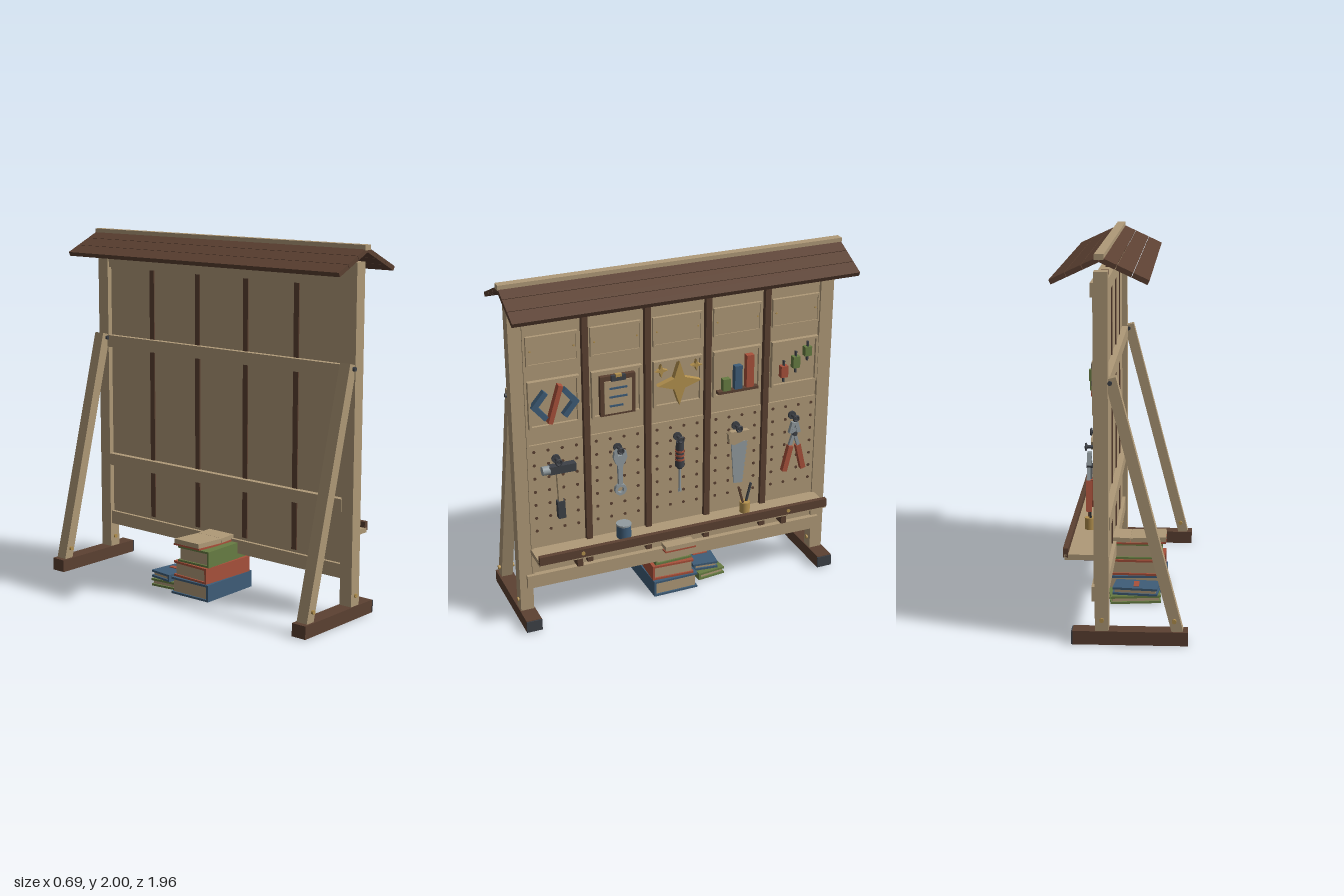
import * as THREE from 'three';

const mat = (name, color) => Object.assign(new THREE.MeshStandardMaterial({ color }), { name });
const tan = mat('tan wood', 0xb09a78), brown = mat('dark wood', 0x5c4132), dark = mat('charcoal', 0x3e4147),
  steel = mat('steel', 0x929ca0), blue = mat('blue', 0x3f5d78), red = mat('red', 0xa9513b),
  green = mat('green', 0x687d43), gold = mat('gold', 0xb5924f);

export function createModel() {
  const model = new THREE.Group();
  model.name = 'toolBoard';
  // Working frame: u runs along the board, y up, d is the depth the board faces.
  const frame = new THREE.Group();
  frame.name = 'boardFrame';
  frame.rotation.y = Math.PI / 2;
  model.add(frame);

  const add = (name, geo, m, u, y, d, parent = frame) => {
    const mesh = new THREE.Mesh(geo, m);
    mesh.name = name;
    mesh.position.set(u, y, d);
    parent.add(mesh);
    return mesh;
  };
  const box = (name, m, u, y, d, w, h, t, parent) => add(name, new THREE.BoxGeometry(w, h, t), m, u, y, d, parent);
  const cyl = (name, m, u, y, d, r1, r2, h, seg = 16) => add(name, new THREE.CylinderGeometry(r1, r2, h, seg), m, u, y, d);
  const peg = (name, m, u, y, d, r, h, seg = 12) => {
    const p = cyl(name, m, u, y, d, r, r, h, seg);
    p.rotation.x = Math.PI / 2;
    return p;
  };
  // straight stroke between two points in the board plane
  const stroke = (name, m, u1, y1, u2, y2, w, d, t) => {
    const b = box(name, m, (u1 + u2) / 2, (y1 + y2) / 2, d, w, Math.hypot(u2 - u1, y2 - y1), t);
    b.rotation.z = -Math.atan2(u2 - u1, y2 - y1);
    return b;
  };
  // flat outline thickened away from the board, with optional holes
  const plate = (name, m, pts, u, y, d, t, holes = []) => {
    const shape = new THREE.Shape(pts.map(p => new THREE.Vector2(...p)));
    holes.forEach(h => shape.holes.push(new THREE.Path(h.map(p => new THREE.Vector2(...p)))));
    return add(name, new THREE.ExtrudeGeometry(shape, { depth: t, bevelEnabled: false }), m, u, y, d);
  };
  const rect = (w, h) => [[-w / 2, -h / 2], [w / 2, -h / 2], [w / 2, h / 2], [-w / 2, h / 2]];
  const ring = (r, n = 20) => Array.from({ length: n }, (_, i) =>
    [r * Math.cos(i / n * 2 * Math.PI), r * Math.sin(i / n * 2 * Math.PI)]);
  const rim = (name, m, w, h, u, y, d, t, b = 0.014) => plate(name, m, rect(w, h), u, y, d, t, [rect(w - 2 * b, h - 2 * b)]);

  // Feet, posts and rear braces
  for (const s of [-1, 1]) {
    const u = 0.902 * s;
    box('foot', brown, u, 0.036, -0.05, 0.088, 0.072, 0.592);
    box('footCap', dark, u, 0.036, 0.248, 0.09, 0.066, 0.008);
    box('post', tan, u, 0.99, 0.095, 0.076, 1.84, 0.07);
    const brace = box('brace', tan, u, 0.725, -0.122, 0.066, 1.36, 0.058);
    brace.rotation.x = Math.atan2(0.34, 1.31);
    for (const [y, d] of [[1.36, 0.05], [0.13, 0.095], [0.13, -0.275]]) {
      const bolt = cyl('frameBolt', y > 1 ? dark : gold, u, y, d, 0.012, 0.012, 0.094, 8);
      bolt.rotation.z = Math.PI / 2;
    }
  }

  // Rails, back board and battens
  box('backBoard', tan, 0, 1.04, 0.105, 1.73, 1.5, 0.03);
  box('topRail', tan, 0, 1.815, 0.11, 1.8, 0.072, 0.08);
  box('bottomRail', tan, 0, 0.255, 0.11, 1.8, 0.078, 0.08);
  for (const y of [0.62, 1.34]) box('rearRail', tan, 0, y, 0.075, 1.74, 0.07, 0.04);
  for (const u of [-0.53, -0.177, 0.177, 0.53]) {
    box('batten', brown, u, 1.045, 0.117, 0.034, 1.47, 0.066);
    box('battenTop', brown, u, 1.86, 0.1, 0.03, 0.03, 0.04);
  }
  for (const s of [-1, 1]) box('edgeTrim', tan, 0.862 * s, 1.04, 0.125, 0.012, 1.48, 0.03);

  // Roof planks and ridge
  for (const s of [-1, 1]) for (let i = 0; i < 3; i++) {
    const r = 0.047 + 0.088 * i;
    const plank = box('roofPlank', brown, 0, 1.975 - 0.423 * r, 0.099 + s * 0.906 * r, 1.95, 0.025, 0.085);
    plank.rotation.x = 0.437 * s;
  }
  box('ridgeCap', tan, 0, 1.986, 0.099, 1.956, 0.028, 0.048);

  // Five bays: label plate, icon frame, pegboard and hook
  const bays = [-0.708, -0.354, 0, 0.354, 0.708];
  for (const u of bays) {
    box('labelPlate', tan, u, 1.62, 0.125, 0.27, 0.15, 0.014);
    rim('labelRim', tan, 0.285, 0.165, u, 1.62, 0.12, 0.018, 0.01);
    for (const s of [-1, 1]) peg('labelPin', gold, u + 0.12 * s, 1.62, 0.133, 0.005, 0.006, 8);
    box('iconPanel', tan, u, 1.315, 0.123, 0.27, 0.26, 0.014);
    rim('iconRim', tan, 0.285, 0.272, u, 1.315, 0.12, 0.026);
    box('pegBoard', tan, u, 0.77, 0.124, 0.315, 0.62, 0.012);
    for (let r = 0; r < 7; r++) for (let c = 0; c < 4; c++)
      peg('pegHole', brown, u - 0.12 + 0.08 * c, 1.04 - 0.08 * r, 0.131, 0.009, 0.004, 8);
    peg('hookPlate', dark, u, 0.983, 0.136, 0.024, 0.012, 16);
    peg('hook', dark, u, 0.983, 0.162, 0.009, 0.06, 10);
    add('hookLoop', new THREE.TorusGeometry(0.016, 0.006, 6, 14), dark, u, 0.983, 0.188);
  }

  // Icon 1: angle brackets and slash
  const iy = 1.312, id = 0.13, it = 0.035;
  const [a, b, c, e, f] = bays;
  for (const s of [-1, 1]) plate('angleBracket', blue,
    [[0.135, 0], [0.062, 0.086], [0.04, 0.066], [0.095, 0], [0.04, -0.066], [0.062, -0.086]].map(([x, y]) => [x * s, y]), a, iy, id, it);
  stroke('slash', red, a - 0.032, iy - 0.105, a + 0.032, iy + 0.105, 0.026, 0.15, 0.04);

  // Icon 2: clipboard
  box('clipboard', brown, b, 1.305, 0.143, 0.2, 0.23, 0.026);
  box('clipboardPaper', tan, b, 1.298, 0.158, 0.156, 0.19, 0.006);
  box('clip', dark, b, 1.41, 0.163, 0.08, 0.032, 0.018);
  box('clipTab', gold, b, 1.425, 0.165, 0.035, 0.016, 0.02);
  [[1.35, 0], [1.3, 0], [1.248, -0.012]].forEach(([y, o]) => box('writtenLine', blue, b + o, y, 0.163, 0.1 + 2 * o, 0.011, 0.005));

  // Icon 3: four-pointed stars
  const star = (r, q) => Array.from({ length: 8 }, (_, i) => {
    const k = i % 2 ? q : r;
    return [k * Math.cos(i * Math.PI / 4), k * Math.sin(i * Math.PI / 4)];
  });
  plate('bigStar', gold, star(0.128, 0.045), c, 1.315, id, it);
  plate('smallStar', gold, star(0.038, 0.013), c - 0.102, 1.398, id, 0.025);
  plate('smallStar', gold, star(0.032, 0.011), c + 0.105, 1.4, id, 0.025);

  // Icon 4: bar chart
  box('chartBase', brown, e, 1.21, 0.147, 0.245, 0.016, 0.034);
  [[-0.07, 0.07, green], [0, 0.138, blue], [0.07, 0.192, red]].forEach(([o, h, m]) =>
    box('chartBar', m, e + o, 1.218 + h / 2, 0.147, 0.044, h, 0.036));

  // Icon 5: candle chart
  [[-0.07, 1.272, 0.068, red], [0.003, 1.318, 0.068, green], [0.074, 1.373, 0.055, green]].forEach(([o, y, h, m]) => {
    box('candle', m, f + o, y, 0.147, 0.042, h, 0.034);
    box('candleWick', dark, f + o, y, 0.147, 0.009, h + 0.06, 0.014);
  });

  // Hammer
  const td = 0.17;
  box('hammerHead', dark, a + 0.022, 0.94, td, 0.15, 0.046, 0.042);
  const face = cyl('hammerFace', steel, a - 0.07, 0.94, td, 0.025, 0.025, 0.042);
  face.rotation.z = Math.PI / 2;
  stroke('hammerHandle', tan, a, 0.92, a + 0.008, 0.73, 0.024, td, 0.024);
  stroke('hammerGrip', dark, a + 0.007, 0.745, a + 0.011, 0.64, 0.042, td, 0.034);

  // Wrench
  plate('wrenchJaw', steel, [[-0.014, 0.95], [-0.014, 0.99], [-0.034, 0.975], [-0.04, 0.94], [-0.027, 0.905], [-0.015, 0.89],
    [-0.011, 0.76], [0.011, 0.76], [0.015, 0.89], [0.027, 0.905], [0.04, 0.94], [0.034, 0.975], [0.014, 0.99], [0.014, 0.95]],
    b, 0, 0.16, 0.02);
  plate('wrenchRing', steel, ring(0.034), b, 0.742, 0.159, 0.022, [ring(0.018)]);

  // Screwdriver
  cyl('screwdriverHandle', dark, c, 0.89, td, 0.022, 0.026, 0.15);
  for (const y of [0.86, 0.885, 0.91]) cyl('handleStripe', red, c, y, td, 0.027, 0.027, 0.01);
  cyl('screwdriverCollar', dark, c, 0.81, td, 0.02, 0.014, 0.02);
  cyl('screwdriverShaft', steel, c, 0.735, td, 0.008, 0.008, 0.15, 10);
  box('screwdriverTip', steel, c, 0.664, td, 0.018, 0.02, 0.007);

  // Saw with toothed edge
  const teeth = Array.from({ length: 21 }, (_, i) => [0.058 - 0.0013 * i - (i % 2 ? 0.007 : 0), 0.895 - 0.0127 * i]);
  plate('sawBlade', steel, [[-0.025, 0.64], [-0.045, 0.9], ...teeth, [0.022, 0.636]].reverse(), e + 0.003, 0, 0.165, 0.009);
  plate('sawHandle', tan, [[-0.06, 0.9], [-0.03, 0.885], [0.03, 0.905], [0.06, 0.9], [0.072, 0.945], [0.06, 0.965],
    [-0.05, 0.968], [-0.066, 0.955]], e + 0.003, 0, 0.154, 0.03);

  // Pliers
  for (const s of [-1, 1]) {
    stroke('pliersJaw', steel, f + 0.026 * s, 0.89, f + 0.008 * s, 0.955, 0.022, td, 0.022);
    stroke('pliersArm', steel, f - 0.012 * s, 0.92, f + 0.028 * s, 0.8, 0.018, td + 0.004 * s, 0.018);
    stroke('pliersGrip', red, f + 0.023 * s, 0.81, f + 0.06 * s, 0.655, 0.03, td, 0.03);
  }
  peg('pliersPivot', dark, f, 0.885, td, 0.014, 0.032);

  // Shelf with lip, brackets, jar and pencil cup
  box('shelf', tan, 0, 0.441, 0.21, 1.74, 0.028, 0.16);
  box('shelfLip', brown, 0, 0.463, 0.284, 1.74, 0.05, 0.026);
  for (const s of [-1, 1]) {
    box('shelfBracket', brown, 0.623 * s, 0.39, 0.19, 0.032, 0.075, 0.11);
    peg('lipBolt', gold, 0.623 * s, 0.463, 0.298, 0.011, 0.008);
  }
  cyl('jar', blue, -0.346, 0.492, 0.193, 0.041, 0.041, 0.074, 20);
  cyl('jarLid', steel, -0.346, 0.533, 0.193, 0.043, 0.043, 0.01, 20);
  cyl('pencilCup', gold, 0.395, 0.487, 0.193, 0.03, 0.03, 0.064, 16);
  stroke('pencil', brown, 0.385, 0.5, 0.35, 0.625, 0.011, 0.2, 0.011);
  stroke('pencil', dark, 0.4, 0.5, 0.432, 0.63, 0.011, 0.19, 0.011);

  // Books: two covers, a spine and the page block
  const book = (m, u, y, d, w, h, len, turn) => {
    const g = new THREE.Group();
    g.name = 'book';
    g.position.set(u, y, d);
    g.rotation.y = turn;
    frame.add(g);
    for (const cy of [0.006, h - 0.006]) box('bookCover', m, 0, cy, 0, w, 0.012, len, g);
    box('bookSpine', m, -w / 2 + 0.006, h / 2, 0, 0.012, h, len, g);
    box('bookPages', tan, 0, h / 2, 0, w - 0.02, h - 0.024, len - 0.02, g);
  };
  book(blue, -0.025, 0, -0.022, 0.27, 0.096, 0.39, 0.02);
  book(red, -0.025, 0.096, -0.022, 0.25, 0.09, 0.36, -0.04);
  book(green, -0.028, 0.186, -0.025, 0.225, 0.092, 0.33, 0.03);
  book(green, 0.22, 0, -0.04, 0.17, 0.043, 0.28, 0.12);
  book(blue, 0.22, 0.043, -0.05, 0.15, 0.042, 0.25, -0.1);
  box('bookLabel', red, 0.22, 0.087, -0.05, 0.09, 0.004, 0.03);
  // open book resting on the stack
  for (const s of [-1, 1]) {
    const cover = box('openBookCover', red, 0, 0.284, -0.01 + 0.1 * s, 0.19, 0.01, 0.2);
    const pages = box('openBookPages', tan, 0, 0.302, -0.01 + 0.1 * s, 0.18, 0.026, 0.198);
    cover.rotation.x = pages.rotation.x = -0.04 * s;
  }
  return model;
}
